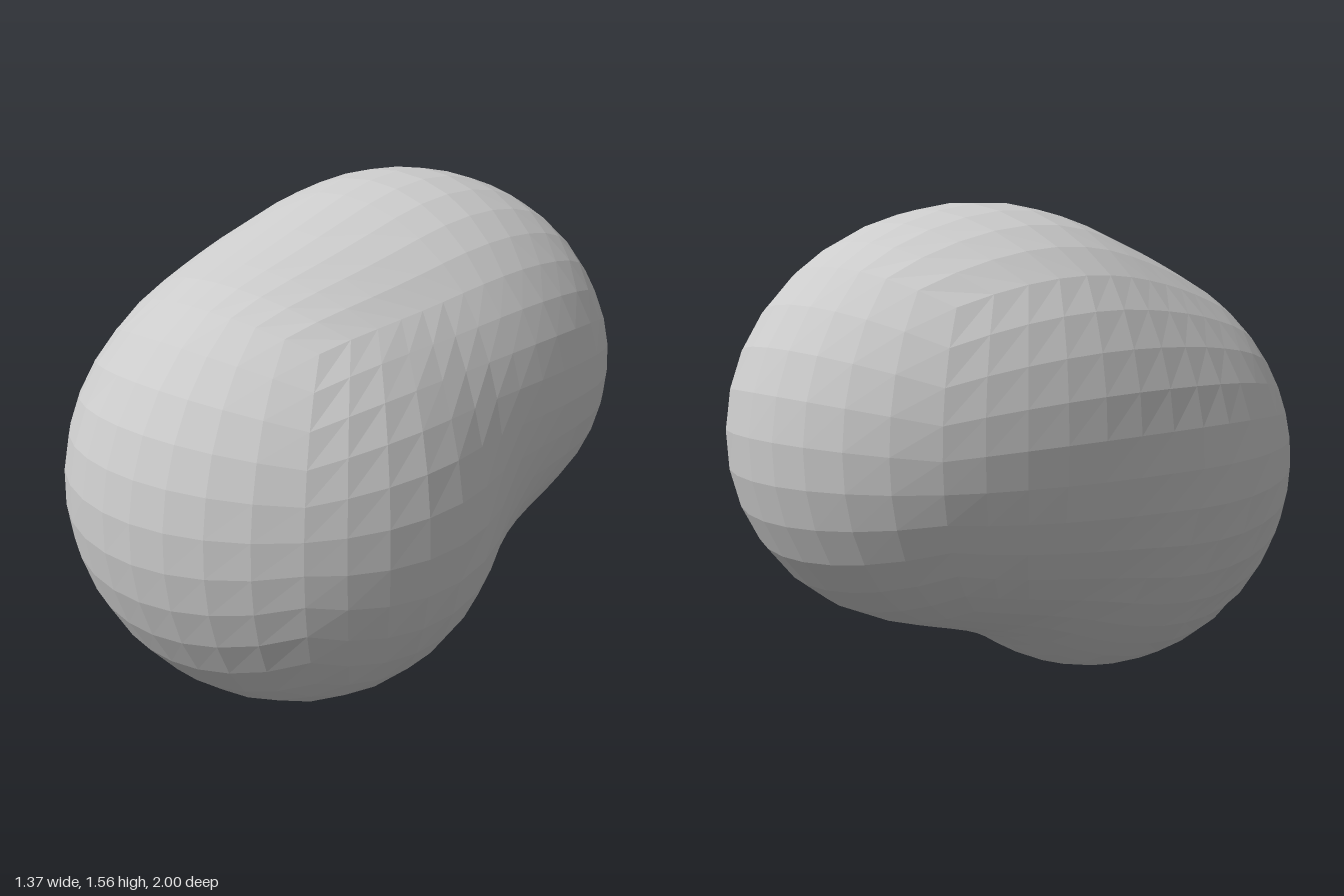
import * as THREE from 'three';

// Five overlapping balls blended into one lump
const balls = [
  { c: new THREE.Vector3(0.015, 0.735, 0.37), r: 0.63 }, // front lobe
  { c: new THREE.Vector3(0.04, 0.583, 0.265), r: 0.56 }, // belly it rests on
  { c: new THREE.Vector3(-0.1, 0.845, 0.04), r: 0.56 }, // right flank
  { c: new THREE.Vector3(0, 0.885, -0.425), r: 0.575 }, // raised back lobe
  { c: new THREE.Vector3(-0.02, 1.0, -0.2), r: 0.53 }, // crown
];
const BLEND = 0.25;

function smoothMin(a, b) {
  const h = Math.max(BLEND - Math.abs(a - b), 0) / BLEND;
  return Math.min(a, b) - h * h * BLEND / 4;
}

// Signed distance to the blended lobes
function distance(p) {
  return balls.map(({ c, r }) => p.distanceTo(c) - r).reduce((a, b) => smoothMin(a, b));
}

// Bisect along a ray from the middle of the body to its surface
function castToSurface(centre, dir, out) {
  let near = 0, far = 2;
  for (let i = 0; i < 30; i++) {
    const mid = (near + far) / 2;
    out.copy(centre).addScaledVector(dir, mid);
    if (distance(out) < 0) near = mid; else far = mid;
  }
  return out;
}

function createBodyGeometry() {
  const box = new THREE.BoxGeometry(2, 2, 2, 10, 10, 13);
  const pos = box.attributes.position;
  const centre = new THREE.Vector3(0, 0.8, 0);
  const proportions = new THREE.Vector3(0.68, 0.75, 1);
  const dir = new THREE.Vector3(), p = new THREE.Vector3();
  const even = (v) => Math.tan(v * Math.PI / 4);

  // Wrap the subdivided box around the lobes with even facets
  for (let i = 0; i < pos.count; i++) {
    dir.set(even(pos.getX(i)), even(pos.getY(i)), even(pos.getZ(i))).normalize();
    dir.multiply(proportions).normalize();
    castToSurface(centre, dir, p);
    pos.setXYZ(i, p.x, p.y, p.z);
  }

  const faceted = box.toNonIndexed();
  faceted.computeVertexNormals();
  return faceted;
}

export function createModel() {
  const group = new THREE.Group();
  group.name = 'blob';
  const body = new THREE.Mesh(
    createBodyGeometry(),
    new THREE.MeshStandardMaterial({ color: 0xcccccc, flatShading: true })
  );
  body.name = 'body';
  group.add(body);
  return group;
}
